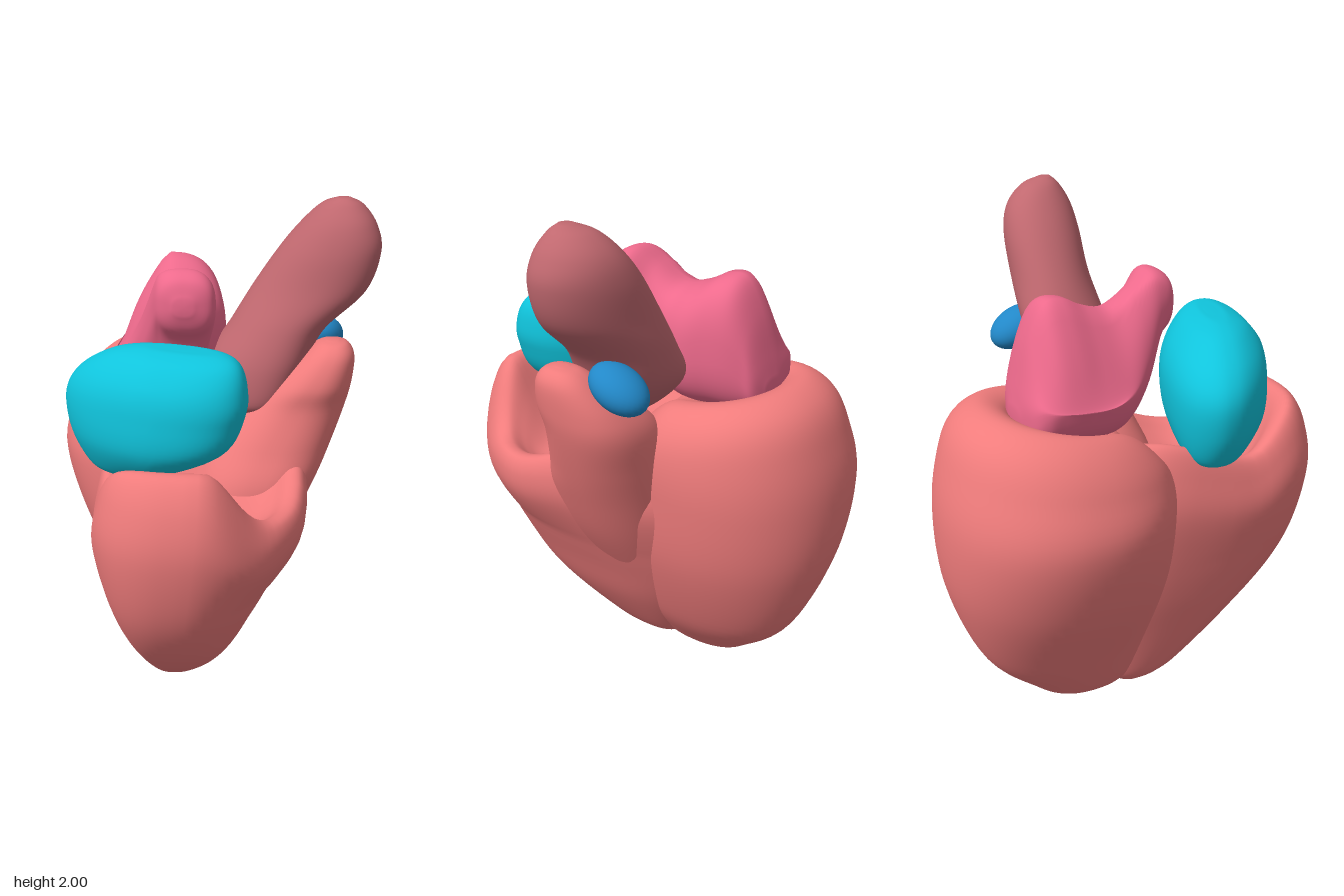
import * as THREE from 'three';

const mat = (color) => new THREE.MeshStandardMaterial({ color, side: THREE.DoubleSide });
const smooth = (v, a, b) => THREE.MathUtils.smoothstep(v, a, b);

// Smooth closed skin over rounded sections [height, x0, x1, z0, z1]; bend moves each point.
function loft(name, material, sections, { power = 2, bend = () => {}, rings = 56, sides = 64 } = {}) {
  const centres = new THREE.CatmullRomCurve3(
    sections.map(([y, x0, x1, z0, z1]) => new THREE.Vector3((x0 + x1) / 2, y, (z0 + z1) / 2)));
  const radii = new THREE.CatmullRomCurve3(
    sections.map(([, x0, x1, z0, z1]) => new THREE.Vector3((x1 - x0) / 2, 0, (z1 - z0) / 2)));
  centres.curveType = radii.curveType = 'catmullrom';
  const pos = [], index = [], p = new THREE.Vector3();
  const add = () => { bend(p); pos.push(p.x, p.y, p.z); };
  const round = (v) => Math.sign(v) * Math.abs(v) ** (2 / power);
  for (let i = 0; i <= rings; i++) {
    const c = centres.getPoint(i / rings), r = radii.getPoint(i / rings);
    for (let j = 0; j < sides; j++) {
      const a = (j / sides) * Math.PI * 2;
      p.set(c.x + Math.max(r.x, 0.01) * round(Math.cos(a)), c.y, c.z + Math.max(r.z, 0.01) * round(Math.sin(a)));
      add();
      const k = (j + 1) % sides, o = i * sides;
      if (i < rings) index.push(o + j, o + sides + j, o + sides + k, o + j, o + sides + k, o + k);
    }
  }
  // end caps
  const last = rings * sides, first = pos.length / 3;
  p.copy(centres.getPoint(0)); add();
  p.copy(centres.getPoint(1)); add();
  for (let j = 0; j < sides; j++) {
    const k = (j + 1) % sides;
    index.push(first, j, k, first + 1, last + k, last + j);
  }
  const g = new THREE.BufferGeometry();
  g.setAttribute('position', new THREE.Float32BufferAttribute(pos, 3));
  g.setIndex(index);
  g.computeVertexNormals();
  const mesh = new THREE.Mesh(g, material);
  mesh.name = name;
  return mesh;
}

export function createModel() {
  const model = new THREE.Group();
  model.name = 'heart';
  const muscle = mat(0xf07c7c);

  // Rear chamber: thick-walled cup, rim high at the back and low in front
  model.add(loft('leftVentricle', muscle, [
    [0.025, -0.23, -0.15, -0.3, -0.12],
    [0.04, -0.25, -0.1, -0.37, -0.05],
    [0.1, -0.29, -0.04, -0.46, 0.0],
    [0.28, -0.39, 0.09, -0.65, 0.06],
    [0.6, -0.56, 0.22, -0.78, 0.11],
    [0.9, -0.645, 0.27, -0.81, 0.11],
    [1.1, -0.6, 0.27, -0.77, 0.1],
    [1.22, -0.54, 0.23, -0.71, 0.05],
    [1.29, -0.46, 0.15, -0.61, -0.02],
    [1.28, -0.39, 0.06, -0.52, -0.1],
    [1.2, -0.34, 0.0, -0.46, -0.16],
    [1.1, -0.31, -0.04, -0.43, -0.19],
    [1.05, -0.22, -0.14, -0.34, -0.28],
  ], {
    power: 2.12,
    rings: 80,
    bend: (p) => {
      const f = Math.max(0, p.y - 0.9) / 0.4;
      p.y += f * (0.03 - 0.2 * (p.z + 0.58) - 0.14 * smooth(p.z, -0.25, 0.05) * smooth(p.x, -0.5, -0.2));
    },
  }));

  // Front chamber: wraps the rear one, rim high in front and low at the side
  model.add(loft('rightVentricle', muscle, [
    [0.0, -0.21, -0.14, -0.05, 0.06],
    [0.02, -0.23, -0.1, -0.09, 0.13],
    [0.08, -0.26, -0.03, -0.15, 0.24],
    [0.28, -0.32, 0.11, -0.26, 0.5],
    [0.46, -0.37, 0.2, -0.35, 0.66],
    [0.65, -0.41, 0.29, -0.38, 0.76],
    [0.88, -0.44, 0.37, -0.38, 0.81],
    [1.05, -0.42, 0.385, -0.32, 0.79],
    [1.16, -0.39, 0.36, -0.22, 0.73],
    [1.17, -0.35, 0.31, -0.15, 0.66],
    [1.1, -0.3, 0.25, -0.05, 0.58],
    [1.05, -0.22, 0.18, 0.1, 0.48],
    [1.03, -0.08, 0.04, 0.25, 0.33],
  ], {
    power: 2.45,
    rings: 80,
    bend: (p) => {
      const side = 0.93 + 0.12 * (1 - smooth(p.z, 0.0, 0.42)) + 0.09 * smooth(-p.x, -0.1, 0.3);
      const front = smooth(p.z, 0.42, 0.68) * (1 - smooth(p.x, 0.05, 0.32));
      const rim = THREE.MathUtils.lerp(side, 1.19, front);
      if (p.y > 0.6) p.y = 0.6 + (p.y - 0.6) * (rim - 0.6) / 0.58;
      if (p.x > 0) p.x *= 1 - 0.15 * smooth(p.z, 0.2, 0.75);
      p.x -= 0.04 * smooth(p.z, 0.4, 0.8);
    },
  }));

  // Broad-based funnel rising from the front chamber
  model.add(loft('outflowTract', muscle, [
    [0.25, -0.1, 0.03, -0.16, 0.08],
    [0.5, -0.1, 0.2, -0.2, 0.18],
    [0.7, -0.1, 0.325, -0.23, 0.23],
    [0.9, -0.06, 0.42, -0.25, 0.23],
    [1.05, 0.01, 0.48, -0.26, 0.18],
    [1.2, 0.13, 0.53, -0.26, 0.14],
    [1.3, 0.24, 0.55, -0.22, 0.14],
    [1.4, 0.35, 0.555, -0.14, 0.11],
    [1.45, 0.41, 0.53, -0.08, 0.07],
    [1.465, 0.45, 0.49, -0.02, 0.02],
  ], { power: 2.3 }));

  model.add(loft('rightAtrium', mat(0x10c4dc), [
    [1.02, -0.4, -0.28, 0.26, 0.38],
    [1.06, -0.46, -0.14, 0.18, 0.47],
    [1.18, -0.52, 0.08, 0.13, 0.56],
    [1.32, -0.535, 0.15, 0.12, 0.57],
    [1.42, -0.48, 0.155, 0.15, 0.55],
    [1.5, -0.36, 0.13, 0.22, 0.49],
    [1.535, -0.24, 0.07, 0.29, 0.42],
    [1.54, -0.12, -0.04, 0.33, 0.37],
  ], {
    power: 2.3,
    bend: (p) => { p.z += 0.28 * (p.x + 0.2) - 0.18 * Math.max(0, -0.2 - p.x) * smooth(p.z, 0.2, 0.5); },
  }));

  // Two-lobed chamber, sections [z, x0, x1, y0, y1] running front to back
  model.add(loft('leftAtrium', mat(0xee6a8c), [
    [0.18, -0.13, -0.06, 1.6, 1.66],
    [0.15, -0.19, 0.01, 1.53, 1.73],
    [0.08, -0.23, 0.02, 1.46, 1.755],
    [0.0, -0.29, -0.01, 1.28, 1.7],
    [-0.1, -0.36, 0.02, 1.2, 1.64],
    [-0.2, -0.4, 0.045, 1.18, 1.66],
    [-0.3, -0.4, 0.03, 1.18, 1.71],
    [-0.38, -0.39, 0.01, 1.18, 1.7],
    [-0.44, -0.37, -0.02, 1.19, 1.58],
    [-0.48, -0.32, -0.05, 1.21, 1.42],
    [-0.5, -0.22, -0.12, 1.25, 1.32],
  ], {
    power: 2.6,
    bend: (p) => {
      p.set(p.x, p.z, p.y);
      p.y -= 1.3 * Math.max(0, -0.2 - p.x) * smooth(p.y, 1.3, 1.65);
    },
  }));

  // Great vessel leaning up to the left
  model.add(loft('aorta', mat(0xc0686f), [
    [1.17, 0.1, 0.2, -0.05, 0.05],
    [1.22, 0.0, 0.28, -0.14, 0.09],
    [1.35, -0.02, 0.36, -0.25, 0.1],
    [1.5, 0.07, 0.44, -0.27, 0.08],
    [1.65, 0.16, 0.59, -0.265, 0.06],
    [1.8, 0.26, 0.64, -0.255, 0.06],
    [1.9, 0.34, 0.62, -0.22, 0.045],
    [1.97, 0.41, 0.57, -0.15, 0.01],
    [2.0, 0.47, 0.52, -0.07, -0.02],
  ], {
    power: 2.1,
    bend: (p) => { p.z += 0.2 * (p.x - 0.17 - 0.58 * (p.y - 1.3)); },
  }));

  // Small valve behind the funnel
  const valve = new THREE.Mesh(new THREE.SphereGeometry(1, 32, 20), mat(0x2288c8));
  valve.name = 'pulmonaryValve';
  valve.scale.set(0.095, 0.078, 0.125);
  valve.rotation.x = -0.45;
  valve.position.set(0.425, 1.415, -0.225);
  model.add(valve);

  return model;
}
